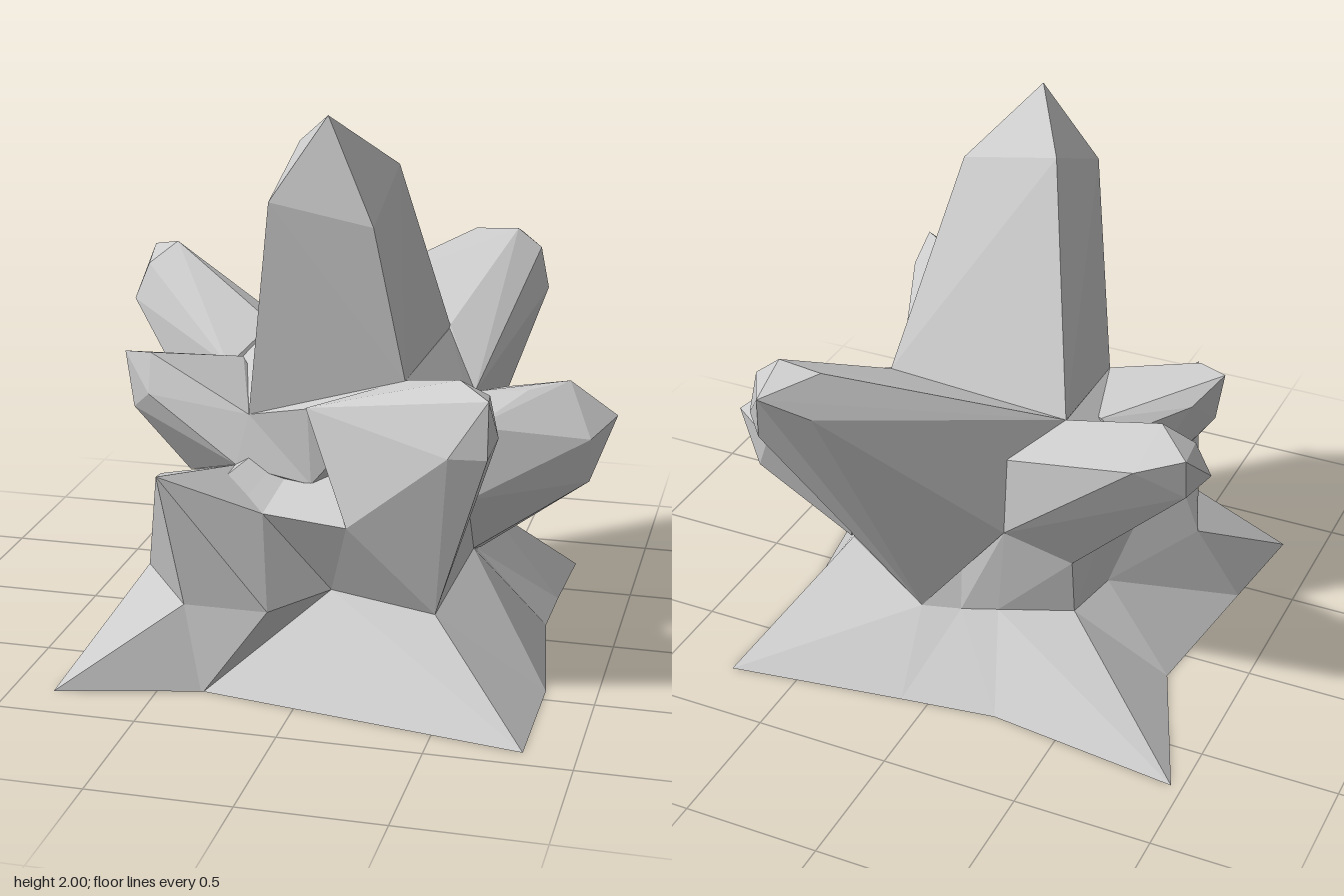
import * as THREE from 'three';
import { ConvexGeometry } from 'three/addons/geometries/ConvexGeometry.js';

const material = new THREE.MeshStandardMaterial({ color: 0xcccccc, flatShading: true, side: THREE.DoubleSide });

// Each crystal: facet corners of its tip, then the corners of its root in the rock
const CRYSTALS = {
  mainCrystal: {
    tip: [[0.04, 2, 0.43], [-0.13, 1.855, 0.16], [0.225, 1.79, 0.16], [0.21, 1.64, 0.49], [-0.15, 1.71, 0.5]],
    root: [[-0.35, 1.07, -0.24], [0.33, 1.11, -0.24], [0.31, 1.1, 0.44], [-0.26, 0.92, 0.39],
      [-0.2, 0.75, 0.3], [0.25, 0.75, 0.3], [0.25, 0.75, -0.2], [-0.25, 0.75, -0.2]],
  },
  frontLeftCrystal: {
    tip: [[0.53, 1.17, 0.6], [0.65, 1.14, 0.72], [0.62, 1.1, 0.53], [0.66, 0.97, 0.58], [0.52, 0.94, 0.745], [0.65, 0.94, 0.73]],
    root: [[-0.03, 0.99, 0.48], [0.15, 0.62, 0.63], [0.45, 0.31, 0.57], [0.31, 1.1, 0.43],
      [0.5, 0.86, 0.165], [0.5, 0.62, 0.26], [0.1, 0.75, 0.3]],
  },
  sideLeftCrystal: {
    tip: [[0.955, 0.8, -0.27], [0.885, 0.77, -0.06], [0.785, 0.94, -0.21], [0.65, 0.93, -0.09],
      [0.77, 0.78, -0.39], [0.88, 0.6, -0.09], [0.86, 0.6, -0.31]],
    root: [[0.46, 0.92, -0.06], [0.5, 0.86, 0.165], [0.5, 0.62, 0.26], [0.5, 0.39, 0.13],
      [0.49, 0.32, -0.06], [0.48, 0.385, -0.31], [0.45, 0.62, -0.35], [0.53, 0.87, -0.3]],
  },
  backCrystal: {
    tip: [[0.33, 1.36, -0.74], [0.495, 1.37, -0.73], [0.585, 1.3, -0.735], [0.48, 1.315, -0.915],
      [0.33, 1.22, -0.82], [0.615, 1.14, -0.745], [0.54, 1.1, -0.82]],
    root: [[-0.35, 1.07, -0.24], [0.33, 1.11, -0.24], [0.46, 0.92, -0.06], [0.12, 0.27, -0.45],
      [-0.17, 0.93, -0.365], [-0.17, 0.62, -0.365], [0.45, 0.62, -0.35]],
  },
  backRightCrystal: {
    tip: [[-0.79, 1.305, -0.475], [-0.92, 1.26, -0.595], [-0.73, 1.15, -0.57], [-0.89, 1.225, -0.42],
      [-0.94, 1.09, -0.39], [-0.9, 1.07, -0.52]],
    root: [[-0.35, 1.07, -0.24], [-0.47, 0.95, -0.06], [-0.17, 0.93, -0.365], [-0.17, 0.62, -0.365],
      [-0.4, 0.5, -0.28], [-0.54, 0.63, -0.08]],
  },
  sideRightCrystal: {
    tip: [[-0.755, 1.08, 0.26], [-0.65, 1.09, 0.29], [-0.645, 0.95, 0.34], [-0.72, 0.88, 0.28], [-0.68, 1, 0.13]],
    root: [[-0.41, 0.99, -0.06], [-0.26, 0.92, 0.39], [-0.3, 0.74, 0.42], [-0.02, 0.7, 0.45],
      [-0.54, 0.63, 0.2], [-0.47, 0.93, -0.06], [-0.48, 0.6, 0]],
  },
  frontRightCrystal: {
    tip: [[-0.48, 0.8, 0.765], [-0.525, 0.745, 0.58], [-0.3, 0.74, 0.42], [-0.3, 0.58, 0.69]],
    root: [[-0.415, 0.31, 0.69], [-0.65, 0.31, 0.36], [-0.115, 0.31, 0.69], [-0.165, 0.62, 0.56], [-0.52, 0.62, 0.37]],
  },
};

// Shoulders of rock between the crystal roots
const SHOULDER = [[0.31, 1.1, 0.44], [0.33, 1.1, -0.24], [0.46, 0.92, -0.06], [0.5, 0.86, 0.165],
  [-0.35, 1.06, -0.24], [-0.47, 0.93, -0.06], [-0.26, 0.92, 0.39], [-0.03, 0.98, 0.46], [-0.02, 0.7, 0.45]];

// Rock rings from the star-shaped ground edge through the waist to the crystal roots
const GROUND = [[0.82, 0, 0.915], [0.82, 0, 0.43], [0.73, 0, -0.14], [0.735, 0, -0.4], [0.75, 0, -0.77],
  [0.1, 0, -0.67], [-0.25, 0, -0.62], [-0.96, 0, -0.7], [-0.73, 0, -0.14], [-0.8, 0, 0.44],
  [-0.85, 0, 0.84], [-0.35, 0, 0.72], [-0.34, 0, 0.72]];
const WAIST = [[0.45, 0.31, 0.57], [0.5, 0.39, 0.13], [0.48, 0.31, -0.06], [0.47, 0.385, -0.31], [0.12, 0.27, -0.45],
  [-0.02, 0.27, -0.41], [-0.15, 0.28, -0.37], [-0.4, 0.27, -0.25], [-0.45, 0.29, -0.05], [-0.65, 0.31, 0.36],
  [-0.415, 0.31, 0.69], [-0.115, 0.31, 0.69], [0.05, 0.31, 0.44]];
const UPPER = [[0.15, 0.62, 0.63], [0.5, 0.62, 0.26], [0.46, 0.85, -0.06], [0.4, 0.62, -0.35], [0.2, 0.62, -0.35],
  [0, 0.62, -0.36], [-0.17, 0.62, -0.36], [-0.4, 0.5, -0.28], [-0.47, 0.68, -0.05], [-0.52, 0.62, 0.37],
  [-0.42, 0.65, 0.66], [-0.3, 0.58, 0.68], [-0.165, 0.62, 0.56]];

// Join closed rings with two triangles per cell; the skirt folds the other way from the walls
function loft(rings) {
  const n = rings[0].length;
  const index = [];
  for (let r = 0; r < rings.length - 1; r++) {
    for (let i = 0; i < n; i++) {
      const a = r * n + i, b = r * n + (i + 1) % n;
      if (r === 0) index.push(a, b, a + n, b, b + n, a + n);
      else index.push(a, b, b + n, a, b + n, a + n);
    }
  }
  const geometry = new THREE.BufferGeometry();
  geometry.setAttribute('position', new THREE.Float32BufferAttribute(rings.flat(2), 3));
  geometry.setIndex(index);
  const flat = geometry.toNonIndexed();
  flat.computeVertexNormals();
  return flat;
}

// Convex facets, left open where a face lies on the waist of the rock
function hull(points) {
  const geometry = new ConvexGeometry(points.map((p) => new THREE.Vector3(...p)));
  const p = geometry.attributes.position;
  const index = [];
  for (let i = 0; i < p.count; i += 3) {
    if (Math.max(p.getY(i), p.getY(i + 1), p.getY(i + 2)) > 0.32) index.push(i, i + 1, i + 2);
  }
  geometry.setIndex(index);
  return geometry;
}

export function createModel() {
  const group = new THREE.Group();
  group.name = 'crystalCluster';
  const add = (name, geometry) => {
    const mesh = new THREE.Mesh(geometry, material);
    mesh.name = name;
    group.add(mesh);
  };

  // Open rock skirt, closed at the top inside the main crystal
  const crown = GROUND.map(() => [0, 0.95, 0.05]);
  add('rockBase', loft([GROUND, WAIST, UPPER, crown]));
  add('rockShoulder', hull(SHOULDER));

  // Faceted crystals
  for (const [name, { tip, root }] of Object.entries(CRYSTALS)) add(name, hull([...tip, ...root]));
  return group;
}
